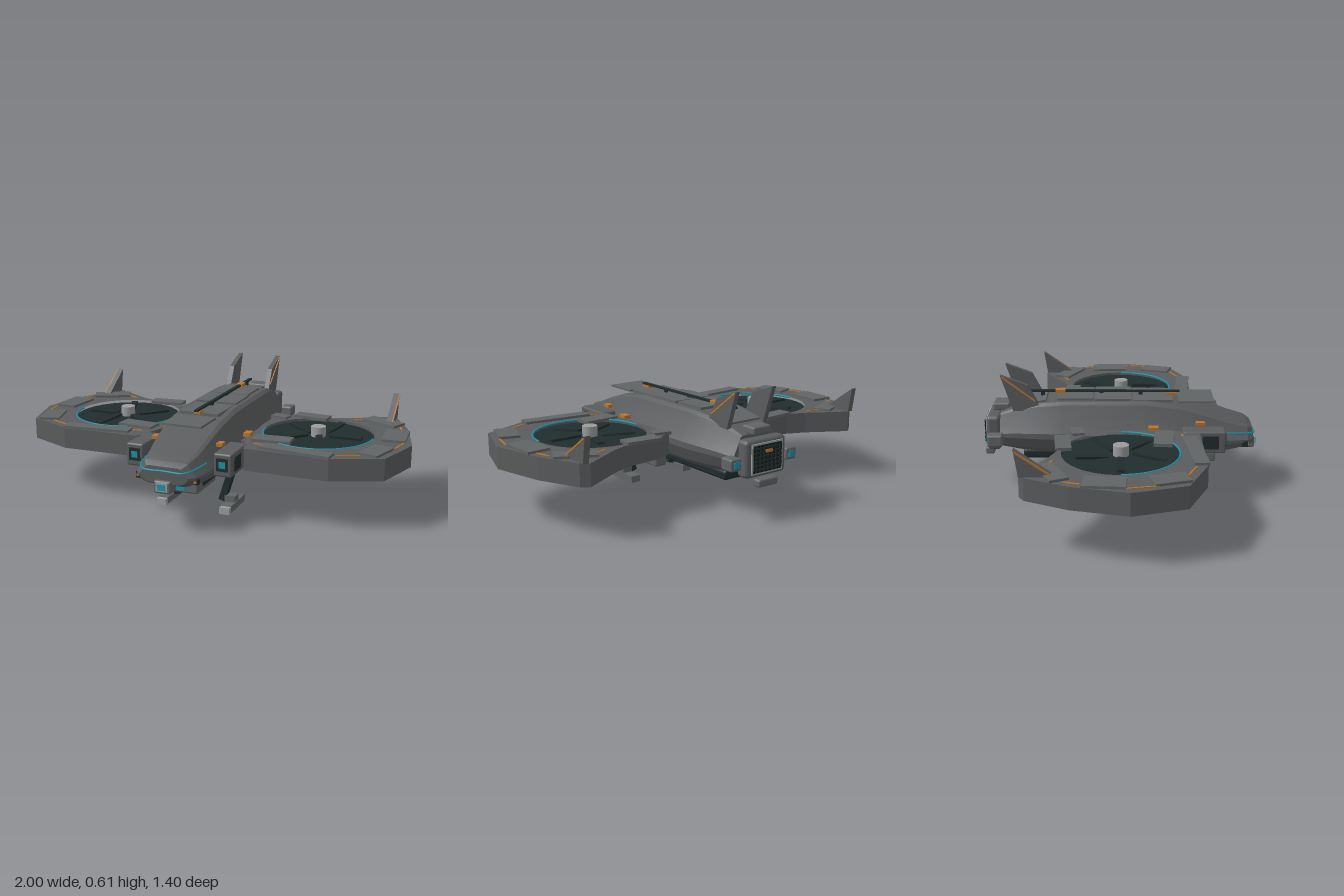
import * as THREE from 'three';
import { toCreasedNormals } from 'three/addons/utils/BufferGeometryUtils.js';
import { RoundedBoxGeometry } from 'three/addons/geometries/RoundedBoxGeometry.js';

const material = (name, color) => {
  const m = new THREE.MeshStandardMaterial({ color });
  m.name = name;
  return m;
};

export function createModel() {
  const model = new THREE.Group();
  model.name = 'rotorGunship';
  const hull = material('hullGrey', 0x5a5c5d);
  const plate = material('plateGrey', 0x616465);
  const dark = material('darkMetal', 0x212c2d);
  const black = material('blackRecess', 0x121819);
  const light = material('lightMetal', 0x9a9d9d);
  const orange = material('orangeTrim', 0xb9742c);
  const cyan = material('cyanLight', 0x1c93a8);

  const add = (name, geo, mat, pos = [0, 0, 0], rot = [0, 0, 0]) => {
    const m = new THREE.Mesh(geo, mat);
    m.name = name;
    m.position.set(...pos);
    m.rotation.set(...rot);
    model.add(m);
    return m;
  };
  const box = (name, mat, size, pos, rot) => add(name, new THREE.BoxGeometry(...size), mat, pos, rot);
  const rbox = (name, mat, size, pos, r = 0.01) =>
    add(name, new RoundedBoxGeometry(...size, 2, r), mat, pos);

  // Fuselage: stations of [z, half width, bottom, top] lofted with one angular profile
  const stations = [
    [0.67, 0.12, 0.24, 0.32], [0.64, 0.15, 0.225, 0.338], [0.55, 0.172, 0.21, 0.362],
    [0.45, 0.187, 0.205, 0.4], [0.3, 0.2, 0.2, 0.447], [0.12, 0.202, 0.2, 0.47],
    [-0.3, 0.202, 0.2, 0.47], [-0.42, 0.185, 0.205, 0.457], [-0.52, 0.163, 0.212, 0.435],
    [-0.61, 0.14, 0.225, 0.4],
  ];
  const half = [[0.62, 0], [0.86, 0.12], [1, 0.35], [1, 0.46], [0.86, 0.68], [0.72, 0.95], [0.62, 1]];
  const ring = [...half, ...half.map(([x, t]) => [-x, t]).reverse()];
  const n = ring.length;
  const pos = [], idx = [];
  stations.forEach(([z, w, b, t]) => ring.forEach(([x, u]) => pos.push(x * w, b + u * (t - b), z)));
  for (let i = 0; i < stations.length - 1; i++) {
    for (let j = 0; j < n; j++) {
      const a = i * n + j, b = i * n + (j + 1) % n;
      idx.push(a, a + n, b + n, a, b + n, b);
    }
  }
  const last = (stations.length - 1) * n;
  for (let j = 1; j < n - 1; j++) idx.push(0, j, j + 1, last, last + j + 1, last + j);
  const body = new THREE.BufferGeometry();
  body.setAttribute('position', new THREE.Float32BufferAttribute(pos, 3));
  body.setIndex(idx);
  add('fuselage', toCreasedNormals(body, 0.35), hull);

  // Roof: deck plates, canopy plate, spine rail and its clips
  for (const [z0, z1, w] of [[0.26, 0.06, 0.2], [0.05, -0.13, 0.22], [-0.14, -0.32, 0.2]]) {
    box('deckPlate', plate, [w, 0.014, z0 - z1], [0, z0 > 0.2 ? 0.466 : 0.473, (z0 + z1) / 2]);
  }
  box('canopyPlate', plate, [0.2, 0.01, 0.18], [0, 0.46, 0.38]);
  box('rearDeckPlate', plate, [0.19, 0.012, 0.15], [0, 0.452, -0.45], [-0.19, 0, 0]);
  box('spineRail', dark, [0.018, 0.01, 0.76], [0, 0.49, -0.08]);
  box('railClip', orange, [0.032, 0.014, 0.05], [0, 0.478, 0.26]);
  box('railClip', orange, [0.036, 0.016, 0.05], [0, 0.491, -0.31]);
  for (const z of [0.1, -0.1, -0.4]) box('railPost', dark, [0.014, 0.05, 0.02], [0, 0.465, z]);

  // Nose: light band and sensor
  const side = [[0.1, 0.3, 0.672], [0.128, 0.305, 0.642], [0.153, 0.313, 0.53]];
  const band = [...side.map(([x, y, z]) => [-x, y, z]).reverse(), [0, 0.3, 0.672], ...side];
  const bandPath = new THREE.CatmullRomCurve3(band.map((p) => new THREE.Vector3(...p)));
  add('noseLightBand', new THREE.TubeGeometry(bandPath, 40, 0.005, 6), cyan);
  rbox('noseSensor', plate, [0.085, 0.06, 0.07], [0, 0.226, 0.655]);
  box('sensorFrame', light, [0.056, 0.042, 0.008], [0, 0.228, 0.69]);
  box('sensorLens', cyan, [0.04, 0.028, 0.008], [0, 0.228, 0.695]);

  // Belly: dark bay with inset panels and a chin pod
  rbox('bellyBay', dark, [0.19, 0.05, 0.93], [0, 0.18, -0.035], 0.015);
  for (const z of [0.12, -0.11, -0.34]) box('bellyPanel', black, [0.13, 0.008, 0.2], [0, 0.154, z]);
  rbox('chinPod', plate, [0.175, 0.052, 0.23], [0, 0.16, 0.37]);
  box('chinLens', cyan, [0.045, 0.026, 0.008], [0, 0.16, 0.487]);

  // Tail block with exhaust grille
  rbox('tailBlock', hull, [0.245, 0.18, 0.07], [0, 0.3, -0.645], 0.02);
  box('grilleFrame', light, [0.19, 0.145, 0.012], [0, 0.3, -0.68]);
  box('grilleBack', black, [0.172, 0.128, 0.008], [0, 0.3, -0.685]);
  for (let i = 0; i < 6; i++) box('grilleBar', dark, [0.165, 0.008, 0.008], [0, 0.25 + i * 0.02, -0.691]);
  for (let i = 0; i < 7; i++) box('grilleRib', dark, [0.006, 0.12, 0.006], [-0.072 + i * 0.024, 0.3, -0.691]);
  box('tailLamp', orange, [0.04, 0.014, 0.006], [0, 0.335, -0.697]);
  rbox('tailTopBox', plate, [0.11, 0.04, 0.085], [0, 0.42, -0.608]);
  rbox('tailLowerBox', plate, [0.12, 0.038, 0.045], [0, 0.183, -0.677]);

  // Upright fin drawn in [z, y]
  const fin = (name, x, points, thickness) => {
    const shape = new THREE.Shape(points.map((p) => new THREE.Vector2(...p)));
    const geo = new THREE.ExtrudeGeometry(shape, { depth: thickness, bevelEnabled: false });
    geo.rotateY(-Math.PI / 2);
    add(name, geo, hull, [x + thickness / 2, 0, 0]);
  };
  // Thin strip between two [z, y] points
  const finTrim = (x, [z0, y0], [z1, y1]) => box('finTrim', orange,
    [0.006, 0.008, Math.hypot(z1 - z0, y1 - y0)],
    [x, (y0 + y1) / 2, (z0 + z1) / 2], [Math.atan2(y1 - y0, z0 - z1), 0, 0]);

  // Wing outline in [x, z]
  const outline = [
    [0.225, -0.23], [0.3, -0.27], [0.5, -0.29], [0.6, -0.33], [0.8, -0.445], [0.84, -0.42],
    [0.935, -0.22], [1, 0.04], [0.925, 0.29], [0.69, 0.39], [0.28, 0.385], [0.225, 0.22],
  ];
  // Armour plates on the wing: [x, z, width, length, turn]
  const armour = [
    [0.42, -0.275, 0.18, 0.075, -0.1], [0.79, -0.305, 0.2, 0.09, -0.45], [0.9, -0.07, 0.115, 0.19, 0.07],
    [0.865, 0.21, 0.1, 0.165, -0.3], [0.52, 0.345, 0.35, 0.07, -0.1], [0.36, 0.205, 0.19, 0.09, 0.08],
    [0.265, -0.215, 0.09, 0.06, -0.2],
  ];
  const trims = [
    [0.945, 0.09, 0.008, 0.15, -0.2], [0.9, -0.21, 0.008, 0.08, 0.3], [0.76, 0.315, 0.11, 0.008, 0.4],
    [0.69, -0.33, 0.12, 0.008, 0.45], [0.34, 0.3, 0.09, 0.008, -0.1],
  ];
  const hubX = 0.53, hubR = 0.277;

  for (const s of [1, -1]) {
    // Wing shroud with round rotor opening
    const shape = new THREE.Shape(outline.map(([x, z]) => new THREE.Vector2(x * s, z)));
    const hole = new THREE.Path();
    hole.absarc(hubX * s, 0, hubR, 0, Math.PI * 2, true);
    shape.holes.push(hole);
    const wing = new THREE.ExtrudeGeometry(shape, { depth: 0.107, bevelEnabled: false, curveSegments: 14 });
    wing.rotateX(Math.PI / 2);
    add('wingShroud', wing, hull, [0, 0.357, 0]);
    for (const [x, z, w, d, r] of armour) box('wingArmour', plate, [w, 0.016, d], [x * s, 0.361, z], [0, r * s, 0]);
    for (const [x, z, w, d, r] of trims) box('wingTrim', orange, [w, 0.006, d], [x * s, 0.358, z], [0, r * s, 0]);
    for (const z of [0.15, -0.12]) box('wingMount', hull, [0.1, 0.07, 0.1], [0.2 * s, 0.3, z]);

    // Rotor
    add('rotorDisc', new THREE.CylinderGeometry(hubR, hubR, 0.016, 32), dark, [hubX * s, 0.335, 0]);
    add('rotorUnderside', new THREE.CylinderGeometry(hubR - 0.005, hubR - 0.005, 0.006, 32), black, [hubX * s, 0.326, 0]);
    for (let i = 0; i < 5; i++) {
      const a = (i * Math.PI * 2) / 5;
      box('rotorBlade', dark, [0.16, 0.012, 0.034],
        [(hubX + 0.14 * Math.cos(a)) * s, 0.351, -0.14 * Math.sin(a)], [0.12, a * s, 0]);
    }
    add('rotorHub', new THREE.CylinderGeometry(0.037, 0.037, 0.055, 16), light, [hubX * s, 0.366, 0]);
    add('rotorLightArc', new THREE.TorusGeometry(hubR - 0.003, 0.005, 6, 32, Math.PI), cyan,
      [hubX * s, 0.356, 0], [Math.PI / 2, 0, 0]);

    // Fins
    fin('wingFin', 0.82 * s, [[-0.28, 0.355], [-0.44, 0.355], [-0.46, 0.483]], 0.03);
    finTrim(0.837 * s, [-0.3, 0.366], [-0.455, 0.474]);
    fin('tailFin', 0.112 * s, [[-0.4, 0.43], [-0.54, 0.42], [-0.6, 0.605], [-0.465, 0.555]], 0.025);
    finTrim(0.126 * s, [-0.43, 0.475], [-0.592, 0.598]);

    // Forward side pod
    rbox('sidePod', hull, [0.09, 0.112, 0.21], [0.225 * s, 0.305, 0.41]);
    box('podSidePanel', dark, [0.008, 0.068, 0.08], [0.269 * s, 0.305, 0.44]);
    box('podFace', dark, [0.058, 0.062, 0.008], [0.225 * s, 0.308, 0.514]);
    box('podLens', cyan, [0.03, 0.03, 0.008], [0.225 * s, 0.308, 0.518]);
    box('podClip', orange, [0.03, 0.016, 0.045], [0.168 * s, 0.37, 0.395]);
    box('wingClip', orange, [0.036, 0.02, 0.05], [0.22 * s, 0.362, 0.16]);

    // Nose side lamps
    box('noseSideLamp', dark, [0.02, 0.03, 0.03], [0.145 * s, 0.255, 0.625]);
    box('noseSideLampGlow', orange, [0.012, 0.012, 0.006], [0.145 * s, 0.255, 0.642]);

    // Lower pod and tail thruster
    rbox('lowerPod', plate, [0.065, 0.062, 0.285], [0.25 * s, 0.216, -0.057]);
    box('lowerPodBracket', hull, [0.1, 0.03, 0.16], [0.2 * s, 0.235, -0.057]);
    rbox('tailThruster', plate, [0.064, 0.06, 0.075], [0.17 * s, 0.285, -0.63]);
    box('thrusterGlow', cyan, [0.034, 0.03, 0.006], [0.17 * s, 0.285, -0.669]);

    // Landing gear
    box('gearStrut', dark, [0.032, 0.155, 0.045], [0.143 * s, 0.112, 0.247], [0, 0, -0.3 * s]);
    box('gearBracket', hull, [0.06, 0.03, 0.07], [0.15 * s, 0.198, 0.247]);
    box('gearAnkle', plate, [0.055, 0.034, 0.05], [0.165 * s, 0.05, 0.247]);
    box('gearFoot', plate, [0.052, 0.034, 0.19], [0.17 * s, 0.019, 0.235]);
    box('gearToe', light, [0.052, 0.034, 0.024], [0.17 * s, 0.017, 0.342]);
  }
  return model;
}
